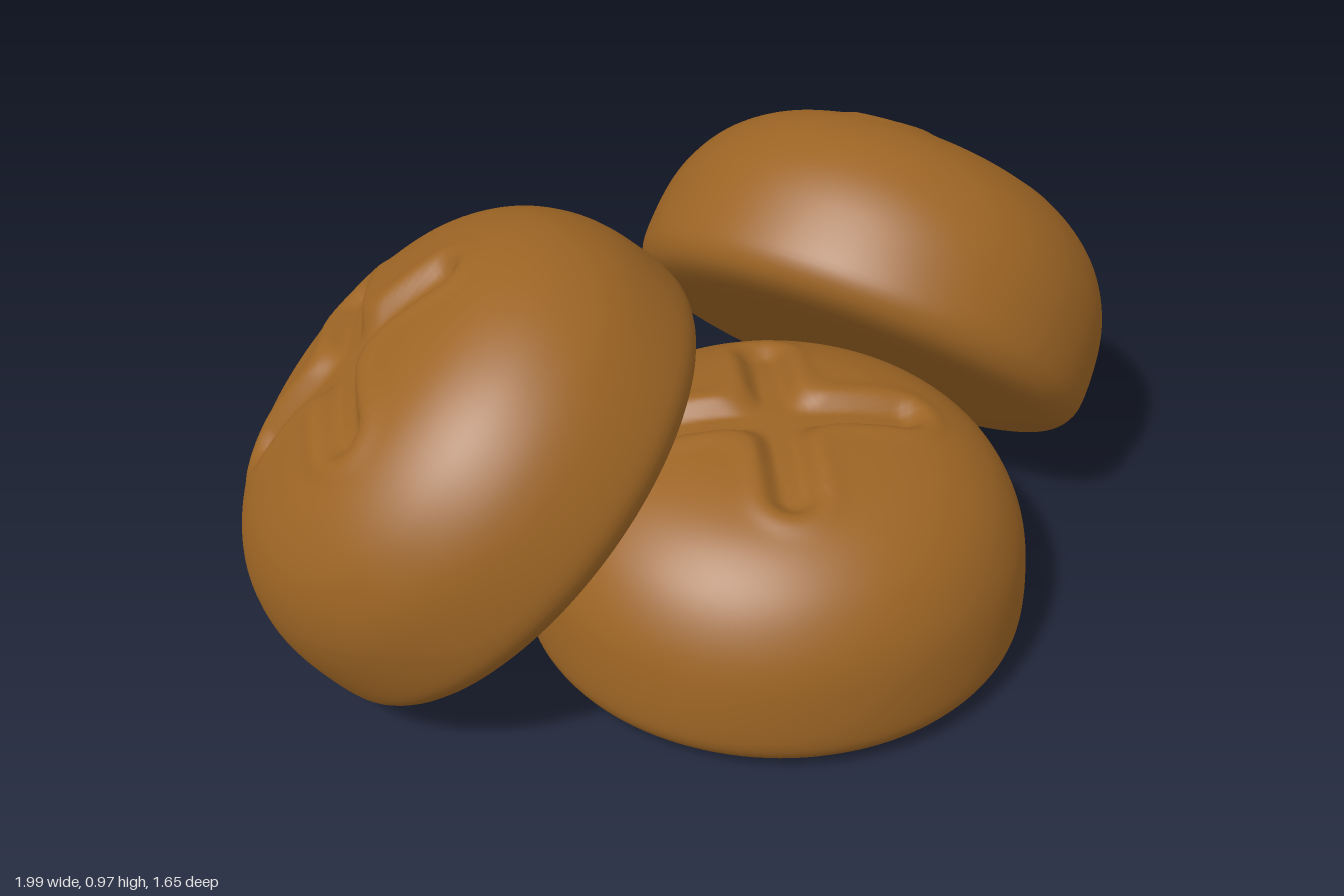
import * as THREE from 'three';
import { mergeVertices } from 'three/addons/utils/BufferGeometryUtils.js';

const ARM = 0.32;   // reach of each arm of the cross-shaped score
const HALF = 0.055; // half width of an arm
const DEPTH = 0.032;

// signed distance to the cross, with softened inner corners
function crossDistance(x, z) {
  const bar = (along, across) =>
    Math.hypot(Math.max(Math.abs(along) - (ARM - HALF), 0), across) - HALF;
  const a = bar(x, z), b = bar(z, x), k = 0.07;
  const h = Math.max(k - Math.abs(a - b), 0) / k;
  return Math.min(a, b) - h * h * k * 0.25;
}

// domed bun: a dense lathe with the score pressed into the top
function bunGeometry() {
  const profile = new THREE.SplineCurve([
    [0, 0.006], [0.2, 0.006], [0.4, 0.01], [0.5, 0.024], [0.545, 0.06],
    [0.558, 0.12], [0.55, 0.24], [0.522, 0.33], [0.47, 0.41], [0.39, 0.475],
    [0.29, 0.515], [0.18, 0.535], [0.08, 0.541], [0, 0.542],
  ].map(([x, y]) => new THREE.Vector2(x, y)));
  const points = profile.getSpacedPoints(100);
  points.forEach((p) => { p.x = Math.max(p.x, 0); });
  points[0].x = points[100].x = 0;

  let geo = new THREE.LatheGeometry(points, 128);
  geo.deleteAttribute('uv');
  geo.deleteAttribute('normal');
  geo = mergeVertices(geo, 1e-5);
  geo.computeVertexNormals();

  const pos = geo.attributes.position, nor = geo.attributes.normal;
  for (let i = 0; i < pos.count; i++) {
    if (pos.getY(i) < 0.35) continue;
    const d = crossDistance(pos.getX(i), pos.getZ(i));
    const dent = 1 - THREE.MathUtils.smoothstep(d, -0.035, 0.012);
    const lip = Math.exp(-(((d - 0.025) / 0.022) ** 2));
    const push = lip * 0.005 - dent * DEPTH;
    pos.setXYZ(i,
      pos.getX(i) + nor.getX(i) * push,
      pos.getY(i) + nor.getY(i) * push,
      pos.getZ(i) + nor.getZ(i) * push);
  }
  geo.computeVertexNormals();
  return geo;
}

export function createModel() {
  const group = new THREE.Group();
  group.name = 'breadRolls';
  const crust = new THREE.MeshStandardMaterial({ color: 0x9c6424 });
  crust.name = 'brown crust';
  const geo = bunGeometry();

  // name, base centre, turn about y, tilt
  const rolls = [
    ['flatRoll', [0.14, 0, 0.265], 0, 0],
    ['rightLeaningRoll', [-0.383, 0.353, 0.265], 0, Math.PI / 4],
    ['backLeaningRoll', [0.368, 0.353, -0.205], -2.21, Math.PI / 4],
  ];
  for (const [name, centre, turn, tilt] of rolls) {
    const roll = new THREE.Mesh(geo, crust);
    roll.name = name;
    roll.position.set(...centre);
    roll.rotation.set(0, turn, tilt, 'YXZ');
    group.add(roll);
  }
  return group;
}
